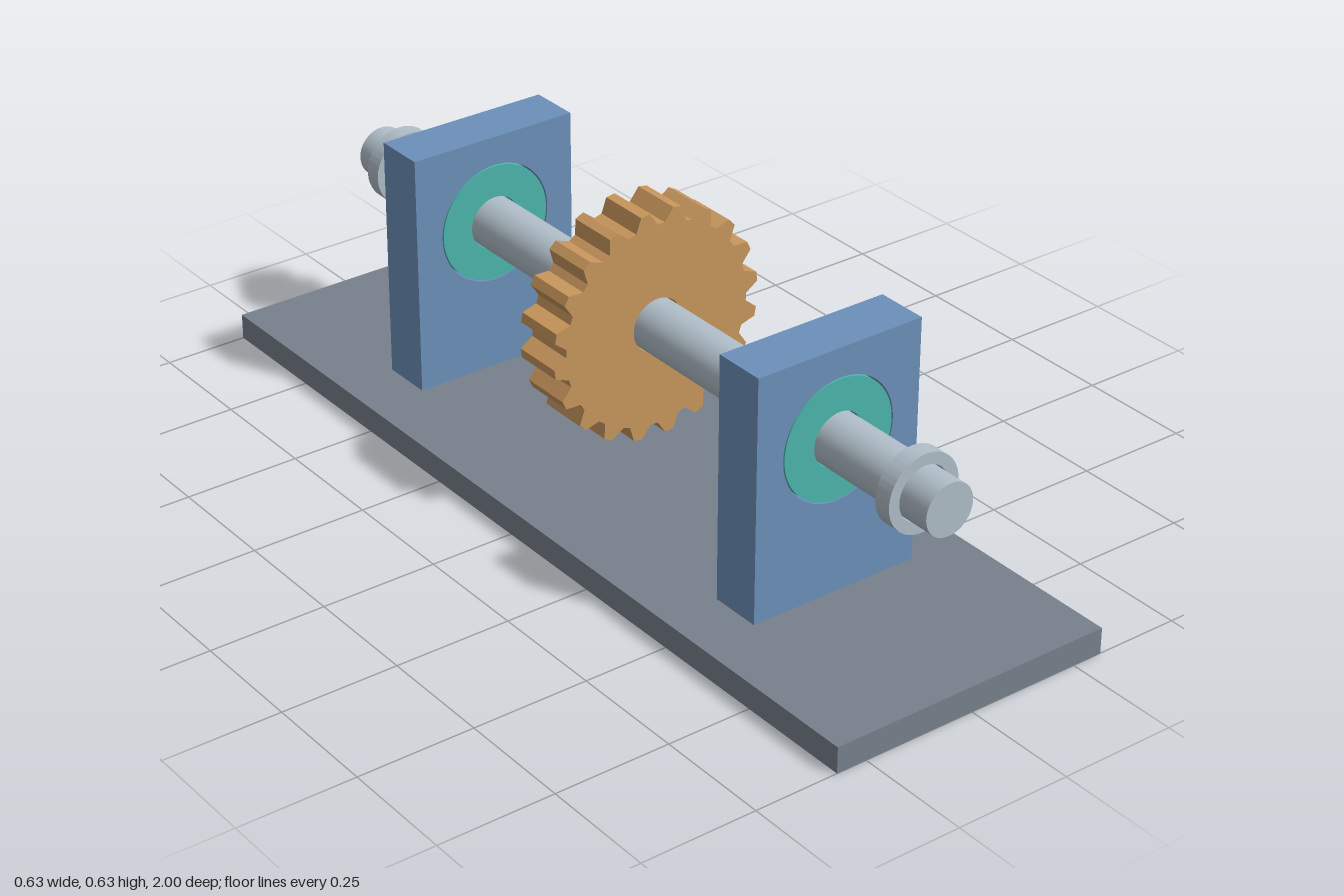
import * as THREE from 'three';
import { toCreasedNormals } from 'three/addons/utils/BufferGeometryUtils.js';

const AXIS_Y = 0.387;   // height of the shaft axis
const BORE = 0.0578;    // clearance hole around the shaft
const SHAFT_R = 0.0552;

const material = (name, color) => Object.assign(new THREE.MeshStandardMaterial({ color }), { name });

// Extrude an outline with one round hole, centred on z = 0; curved walls stay smooth.
function plate(shape, holeRadius, depth) {
  const hole = new THREE.Path();
  hole.absarc(0, 0, holeRadius, 0, Math.PI * 2, true);
  shape.holes.push(hole);
  const geo = new THREE.ExtrudeGeometry(shape, { depth, bevelEnabled: false, curveSegments: 40 });
  geo.translate(0, 0, -depth / 2);
  return toCreasedNormals(geo, 0.3);
}

function disc(radius) {
  const shape = new THREE.Shape();
  shape.absarc(0, 0, radius, 0, Math.PI * 2, false);
  return shape;
}

function rectangle(x0, y0, x1, y1) {
  return new THREE.Shape([
    new THREE.Vector2(x0, y0), new THREE.Vector2(x1, y0),
    new THREE.Vector2(x1, y1), new THREE.Vector2(x0, y1),
  ]);
}

// Spur gear outline: each tooth is a trapezoid between root and tip circles.
function gearOutline(teeth, rootR, tipR, firstAngle) {
  const points = [];
  const corners = [[-6.7, rootR], [-2.35, tipR], [2.35, tipR], [6.7, rootR]];
  for (let i = 0; i < teeth; i++) {
    const centre = firstAngle + (i * 360) / teeth;
    for (const [offset, r] of corners) {
      const a = THREE.MathUtils.degToRad(centre + offset);
      points.push(new THREE.Vector2(r * Math.cos(a), r * Math.sin(a)));
    }
  }
  return new THREE.Shape(points);
}

export function createModel() {
  const group = new THREE.Group();
  group.name = 'gearShaftStand';

  const baseGrey = material('baseGrey', 0x77818c);
  const blockBlue = material('blockBlue', 0x6c90b9);
  const bearingTeal = material('bearingTeal', 0x4db6ac);
  const steel = material('steel', 0xb0bec8);
  const bronze = material('bronze', 0xc8965c);

  const add = (name, geometry, mat, y, z = 0) => {
    const mesh = new THREE.Mesh(geometry, mat);
    mesh.name = name;
    mesh.position.set(0, y, z);
    group.add(mesh);
  };

  // Base plate
  add('basePlate', new THREE.BoxGeometry(0.634, 0.056, 2), baseGrey, 0.028);

  // Shaft along z
  const shaft = new THREE.CylinderGeometry(SHAFT_R, SHAFT_R, 1.83, 64);
  shaft.rotateX(Math.PI / 2);
  add('shaft', shaft, steel, AXIS_Y);

  // Gear in the middle
  add('gear', plate(gearOutline(20, 0.219, 0.2475, 78.9), BORE, 0.112), bronze, AXIS_Y);

  // Bearing block, bearing and stop collar at each end
  for (const [side, s] of [['front', 1], ['back', -1]]) {
    add(side + 'Block', plate(rectangle(-0.192, 0.056 - AXIS_Y, 0.192, 0.58 - AXIS_Y), 0.1305, 0.112), blockBlue, AXIS_Y, s * 0.55);
    add(side + 'Bearing', plate(disc(0.1275), BORE, 0.112), bearingTeal, AXIS_Y, s * 0.55);
    add(side + 'Collar', plate(disc(0.082), BORE, 0.038), steel, AXIS_Y, s * 0.826);
  }
  return group;
}
